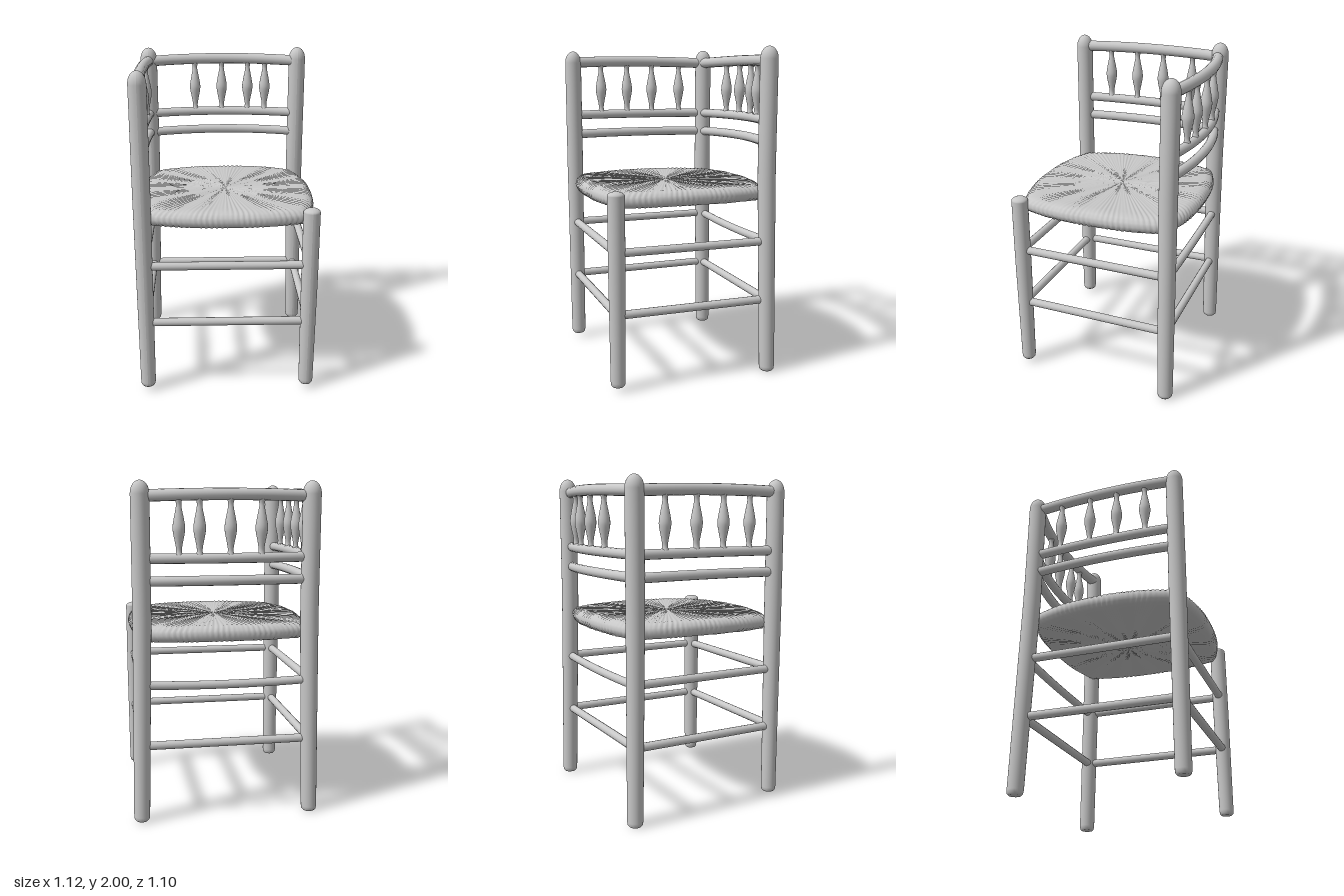
import * as THREE from 'three';

const wood = new THREE.MeshStandardMaterial({ color: 0xc8c8c8 });
wood.name = 'pale grey wood';

function add(group, name, geometry) {
  const mesh = new THREE.Mesh(geometry, wood);
  mesh.name = name;
  group.add(mesh);
  return mesh;
}

const smoothProfile = (pts, n) =>
  new THREE.SplineCurve(pts.map(([r, y]) => new THREE.Vector2(r, y))).getPoints(n)
    .map(p => new THREE.Vector2(Math.max(p.x, 0), p.y));

// Turned post with a rounded foot and domed top; the foot kicks out by (dx, dz)
function post({ x, z, bottom, top, r, dx = 0, dz = 0 }) {
  const foot = r * 0.88;
  const pts = [new THREE.Vector2(0, bottom), new THREE.Vector2(foot * 0.75, bottom),
    new THREE.Vector2(foot * 0.94, bottom + 0.01), new THREE.Vector2(foot, bottom + 0.03)];
  const dome = top > 1.5 ? 0.075 : 0.025;
  for (let i = 1; i <= 16; i++) {
    const t = i / 16;
    const y = THREE.MathUtils.lerp(bottom + 0.03, top - dome, t);
    pts.push(new THREE.Vector2(THREE.MathUtils.lerp(foot, r, Math.min(1, t * 1.6)), y));
  }
  for (let i = 1; i <= 8; i++) {
    const a = i / 8 * Math.PI / 2;
    pts.push(new THREE.Vector2(i === 8 ? 0 : r * Math.cos(a), top - dome + dome * Math.sin(a)));
  }
  const g = new THREE.LatheGeometry(pts, 28);
  const p = g.attributes.position;
  for (let i = 0; i < p.count; i++) {
    const k = Math.max(0, 1 - p.getY(i) / 1.25);
    p.setX(i, p.getX(i) + x + dx * k);
    p.setZ(i, p.getZ(i) + z + dz * k);
  }
  g.computeVertexNormals();
  return g;
}

// Round rail between two points, bowed at the middle by the given vector
function rail(a, b, r, bow = [0, 0, 0]) {
  const A = new THREE.Vector3(...a), B = new THREE.Vector3(...b);
  const C = A.clone().add(B).multiplyScalar(0.5).addScaledVector(new THREE.Vector3(...bow), 2);
  return new THREE.TubeGeometry(new THREE.QuadraticBezierCurve3(A, C, B), 24, r, 14);
}

// Woven seat: nested outlines swept over a cushion profile, with strand ridges
function seatGeometry() {
  const profile = [[0, 1.176], [0.3, 1.178], [0.6, 1.18], [0.82, 1.183], [0.9, 1.182], [0.95, 1.174],
    [0.985, 1.157], [1, 1.13], [0.985, 1.105], [0.95, 1.088], [0.88, 1.082], [0.6, 1.079], [0.3, 1.07], [0, 1.06]];
  const perSide = 120, n = perSide * 4;
  const pos = [], index = [];
  profile.forEach(([s, y], row) => {
    for (let i = 0; i < n; i++) {
      const side = Math.floor(i / perSide);
      const t = (i % perSide) / perSide * 2 - 1;
      const bulge = 0.465 + 0.083 * (1 - Math.pow(Math.abs(t), 2.4));
      const along = t * 0.465;
      // sides in order: front, right, back, left
      const [x, z] = [[along, bulge], [bulge, -along], [-along, -bulge], [-bulge, along]][side];
      const ridge = (0.5 + 0.5 * Math.sin(i * Math.PI / 2)) * 0.003
        + 0.001 * Math.sin(i * 1.37 + row * 0.4);
      const k = s * (1 - (s > 0.94 ? ridge : 0));
      const dip = row < 7 ? -1 : 1;
      const endDrop = s * s * -0.008 * t * t;
      pos.push(x * k, y + dip * ridge * Math.min(1, s * 1.5) + endDrop, z * k);
    }
  });
  for (let r = 0; r < profile.length - 1; r++) {
    for (let i = 0; i < n; i++) {
      const j = (i + 1) % n, a = r * n + i, b = r * n + j, c = a + n, d = b + n;
      index.push(a, c, b, b, c, d);
    }
  }
  const g = new THREE.BufferGeometry();
  g.setAttribute('position', new THREE.Float32BufferAttribute(pos, 3));
  g.setIndex(index);
  g.computeVertexNormals();
  return g;
}

export function createModel() {
  const chair = new THREE.Group();
  chair.name = 'cornerChair';

  // Three tall posts and one short front post
  add(chair, 'backLeftPost', post({ x: -0.495, z: -0.467, bottom: 0.005, top: 2, r: 0.054, dx: -0.02, dz: -0.02 }));
  add(chair, 'backRightPost', post({ x: 0.492, z: -0.467, bottom: 0.01, top: 2, r: 0.054, dx: 0.023, dz: -0.02 }));
  add(chair, 'frontLeftPost', post({ x: -0.497, z: 0.472, bottom: 0.035, top: 1.985, r: 0.052 }));
  add(chair, 'shortFrontPost', post({ x: 0.488, z: 0.475, bottom: 0.035, top: 1.19, r: 0.05 }));

  // Woven seat
  add(chair, 'wovenSeat', seatGeometry());

  // Stretchers on all four sides, in two tiers
  const corners = [[-0.497, 0.472], [0.49, 0.475], [0.5, -0.475], [-0.503, -0.475]];
  const sides = ['front', 'right', 'back', 'left'];
  for (const [tier, y] of [['lower', 0.467], ['upper', 0.835]]) {
    sides.forEach((side, i) => {
      const a = corners[i], b = corners[(i + 1) % 4];
      const sag = side === 'back' && tier === 'upper' ? [0, -0.012, 0] : [0, 0, 0];
      add(chair, `${tier}${side}Stretcher`, rail([a[0], y, a[1]], [b[0], y, b[1]], 0.025, sag));
    });
  }

  // Bowed rails of the two backrests
  for (const [name, y, r, rise] of [['top', 1.913, 0.034, 0.01], ['middle', 1.565, 0.029, 0.003], ['lower', 1.436, 0.029, 0.006]]) {
    add(chair, `${name}BackRail`, rail([-0.495, y, -0.452], [0.492, y, -0.452], r, [0, rise, -0.07]));
    add(chair, `${name}SideRail`, rail([-0.497, y, 0.472], [-0.495, y, -0.467], r, [-0.015, rise, 0]));
  }

  // Turned spindles between top and middle rails
  const spindle = new THREE.LatheGeometry(smoothProfile([[0.024, 1.58], [0.016, 1.61], [0.021, 1.65], [0.033, 1.71],
    [0.035, 1.745], [0.028, 1.79], [0.018, 1.84], [0.015, 1.87], [0.022, 1.9]], 32), 18);
  for (const x of [-0.19, -0.01, 0.165, 0.28]) {
    add(chair, 'backSpindle', spindle).position.set(x, 0, -0.452 - 0.07 * (1 - (x / 0.495) ** 2));
  }
  for (const z of [0.28, 0.095, -0.085, -0.285]) {
    add(chair, 'sideSpindle', spindle).position.set(-0.496 - 0.015 * (1 - (z / 0.47) ** 2), 0, z);
  }
  return chair;
}
